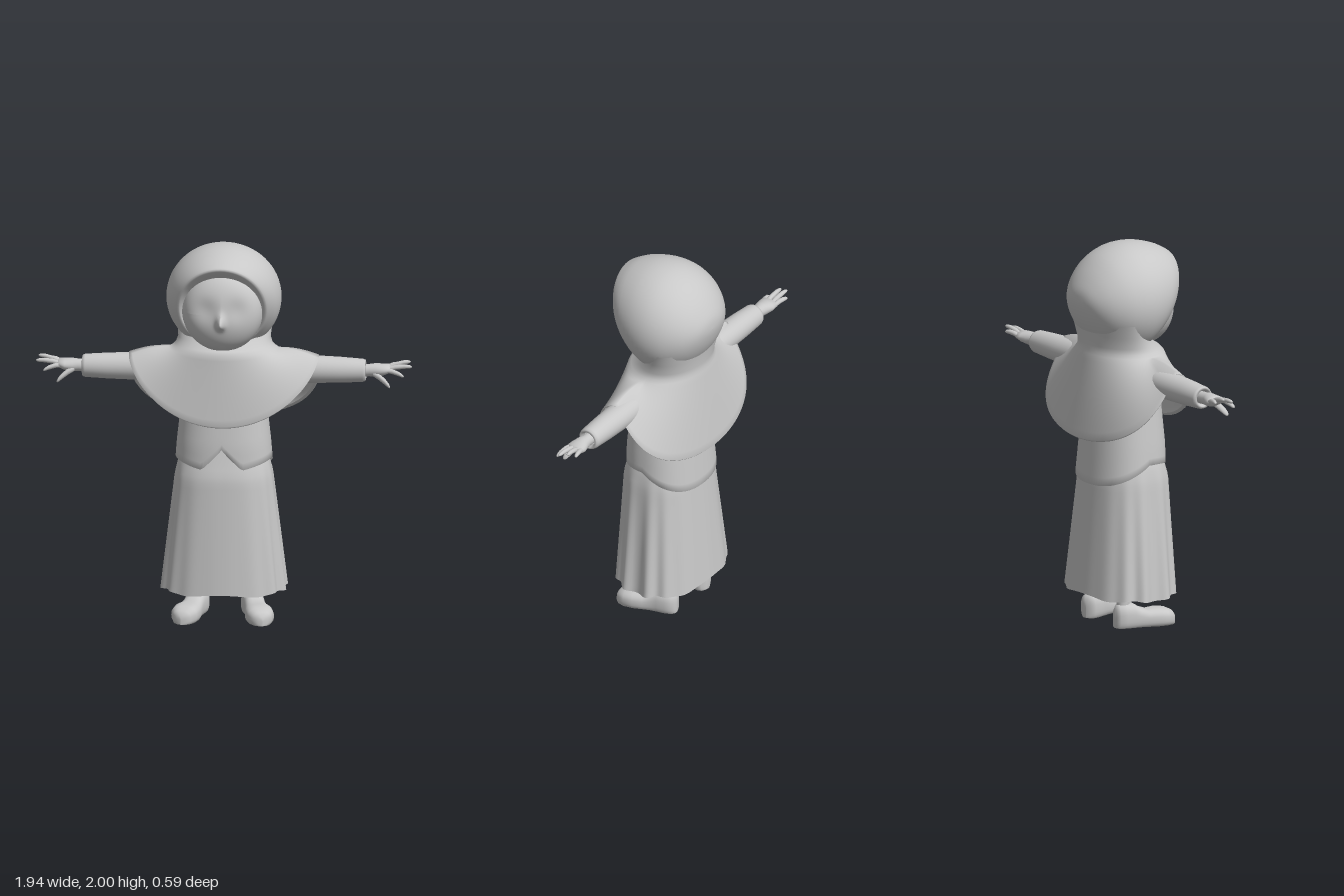
import * as THREE from 'three';

const clay = new THREE.MeshStandardMaterial({ color: 0xc8c8c8, side: THREE.DoubleSide });
clay.name = 'light grey';

const TAU = Math.PI * 2;
const lerp = THREE.MathUtils.lerp;
const spow = (v, e) => Math.sign(v) * Math.abs(v) ** e;

// Skin a list of closed loops, each an array of [x, y, z]
function loft(name, rows) {
  const n = rows[0].length, index = [];
  for (let r = 0; r < rows.length - 1; r++) {
    for (let i = 0; i < n; i++) {
      const a = r * n + i, b = r * n + (i + 1) % n;
      index.push(a, a + n, b, b, a + n, b + n);
    }
  }
  const g = new THREE.BufferGeometry();
  g.setAttribute('position', new THREE.Float32BufferAttribute(rows.flat(2), 3));
  g.setIndex(index);
  g.computeVertexNormals();
  const mesh = new THREE.Mesh(g, clay);
  mesh.name = name;
  return mesh;
}

const loop = (n, f) => Array.from({ length: n }, (_, i) => f(i / n * TAU));

// Horizontal section: half width, front z, back z; angle 0 faces front
function section(a, rx, zf, zb, e = 1) {
  const zc = (zf + zb) / 2;
  return [rx * spow(Math.sin(a), e), zc + (zf - zb) / 2 * spow(Math.cos(a), e)];
}

// Interpolate a small table whose first column is the position
function sample(table, t) {
  let i = 0;
  while (i < table.length - 2 && (table[i + 1][0] - t) * (table[1][0] - table[0][0]) < 0) i++;
  const k = (t - table[i][0]) / (table[i + 1][0] - table[i][0]);
  return table[i].map((v, j) => lerp(v, table[i + 1][j], k));
}

// Rounded limb along x from [x, y, z, ry, rz] stations
const limb = (name, pts, n = 16) => loft(name, pts.map(([x, y, z, ry, rz = ry]) =>
  loop(n, a => [x, y + ry * Math.cos(a), z + rz * Math.sin(a)])));

// Head covering: loops from the folded inner rim to the back of the head
function makeHood() {
  // z centre, forward tilt, half width, top y, bottom y
  const keys = [
    [0.08, 0.09, 0.185, 1.86, 1.50], [0.125, 0.10, 0.205, 1.895, 1.48],
    [0.15, 0.10, 0.225, 1.922, 1.46], [0.125, 0.10, 0.252, 1.942, 1.45],
    [0.08, 0.085, 0.278, 1.972, 1.43], [0.01, 0.05, 0.295, 1.998, 1.42],
    [-0.07, 0.02, 0.292, 1.993, 1.43], [-0.15, 0, 0.264, 1.95, 1.46],
    [-0.22, 0, 0.208, 1.885, 1.53], [-0.265, 0, 0.14, 1.82, 1.61],
    [-0.287, 0, 0.07, 1.77, 1.68], [-0.292, 0, 0, 1.72, 1.72]];
  const curves = [0, 1, 2, 3, 4].map(c => new THREE.SplineCurve(
    keys.map((k, i) => new THREE.Vector2(i, k[c]))));
  const rows = [];
  for (let s = 0; s <= 33; s++) {
    const [zc, tilt, rx, yt, yb] = curves.map(c => c.getPoint(s / 33).y);
    rows.push(loop(64, a => [rx * Math.sin(a),
      (yt + yb) / 2 + (yt - yb) / 2 * Math.cos(a), zc + tilt * Math.cos(a)]));
  }
  return loft('hood', rows);
}

// Draped cape: neck rings, then a sweep to the scooped hem
function makeCape() {
  const N = 96;
  const rows = [[1.62, 0.262, 0.03, -0.25], [1.55, 0.245, 0.06, -0.238], [1.49, 0.238, 0.11, -0.23],
    [1.46, 0.25, 0.155, -0.23]].map(([y, rx, zf, zb]) => loop(N, a => {
    const [x, z] = section(a, rx, zf, zb);
    return [x, y, z];
  }));
  const hem = (a, inset = 0) => {
    const c = Math.cos(a), k = Math.abs(c), f = c > 0;
    return [(0.49 - inset) * Math.sin(a),
      f ? 1.405 - 0.335 * k ** 1.3 : 1.405 - 0.4 * k ** 0.6,
      f ? -0.03 + (0.23 - inset) * k ** 0.7 : -0.03 - (0.265 - inset) * k ** 0.65];
  };
  for (let s = 0; s <= 12; s++) {
    const t = s / 12;
    rows.push(loop(N, a => {
      const [x, z] = section(a, 0.268, 0.17, -0.235), h = hem(a);
      const lift = 0.012 * Math.sin(Math.PI * t);
      return [lerp(x, h[0], t), lerp(1.442, h[1], t) + lift, lerp(z, h[2], t)];
    }));
  }
  // Turned-in edge
  rows.push(loop(N, a => { const h = hem(a, 0.008); return [h[0], h[1] - 0.008, h[2]]; }));
  rows.push(loop(N, a => { const h = hem(a, 0.02); return [h[0], h[1] + 0.005, h[2]]; }));
  return loft('cape', rows);
}

// Face: flattened ball with shallow eye hollows and a pointed nose
function makeFace() {
  const g = new THREE.SphereGeometry(1, 64, 64).rotateX(Math.PI / 2);
  const p = g.attributes.position;
  for (let i = 0; i < p.count; i++) {
    const x = p.getX(i) * 0.212, y = 1.672 + p.getY(i) * 0.222;
    let z = 0.04 + 0.2 * spow(p.getZ(i), 0.62);
    if (p.getZ(i) > 0) {
      z -= 0.014 * Math.exp(-(((Math.abs(x) - 0.08) / 0.06) ** 2) - ((y - 1.7) / 0.06) ** 2);
      const dy = y - 1.63;
      z += 0.055 * Math.exp(-((x / 0.02) ** 2) - (dy / (dy > 0 ? 0.04 : 0.025)) ** 2);
    }
    p.setXYZ(i, x, y, z);
  }
  g.computeVertexNormals();
  const mesh = new THREE.Mesh(g, clay);
  mesh.name = 'face';
  return mesh;
}

// Jacket with a notched front and a longer back
function makeJacket() {
  const table = [[1.42, 0.2, 0.13, -0.17], [1.15, 0.22, 0.155, -0.195],
    [0.95, 0.242, 0.172, -0.215], [0.75, 0.258, 0.172, -0.232]];
  const hemY = a => {
    const x = 0.25 * Math.abs(Math.sin(a)), c = Math.cos(a);
    if (c < 0) return 0.865 - 0.115 * Math.abs(c) ** 0.8;
    return x < 0.09 ? 0.94 - 0.11 * (x / 0.09) ** 0.8 : lerp(0.83, 0.865, (x - 0.09) / 0.16);
  };
  const rows = [];
  for (let s = 0; s <= 16; s++) {
    rows.push(loop(96, a => {
      const y = lerp(1.42, hemY(a), s / 16);
      const [, rx, zf, zb] = sample(table, y);
      const [x, z] = section(a, rx, zf, zb, 0.85);
      return [x, y, z];
    }));
  }
  rows.push(rows[16].map(([x, y, z]) => [x * 0.93, y + 0.005, z * 0.93]));
  return loft('jacket', rows);
}

// Long skirt with folds deepening down the sides
function makeSkirt() {
  const table = [[0.96, 0.19, 0.135, -0.16], [0.86, 0.232, 0.16, -0.19],
    [0.78, 0.252, 0.182, -0.212], [0.16, 0.318, 0.203, -0.264]];
  const rows = [];
  for (let s = 0; s <= 24; s++) {
    const y0 = lerp(0.96, 0.165, s / 24), t = Math.max(0, (0.84 - y0) / 0.68);
    const [, rx, zf, zb] = sample(table, y0);
    rows.push(loop(160, a => {
      const [x, z] = section(a, rx, zf, zb, 0.8);
      const side = Math.sin(a) ** 2;
      const fold = Math.cos(14 * a) * t ** 0.7 * (0.005 + 0.04 * side ** 2);
      return [x * (1 + fold), y0 + 0.006 * (s / 24) * Math.cos(6 * a), z * (1 + fold)];
    }));
  }
  return loft('skirt', rows);
}

// Sleeve, wrist, palm, four fingers and thumb on the +x side
function makeArm() {
  const arm = new THREE.Group();
  arm.name = 'arm';
  arm.add(limb('sleeve', [[0.15, 1.33, -0.03, 0.08], [0.48, 1.327, -0.03, 0.071],
    [0.6, 1.326, -0.03, 0.067], [0.715, 1.325, -0.03, 0.06], [0.729, 1.325, -0.03, 0.055],
    [0.732, 1.325, -0.03, 0.044], [0.71, 1.325, -0.03, 0.036]], 32));
  arm.add(limb('hand', [[0.7, 1.325, -0.03, 0.032], [0.75, 1.327, -0.03, 0.032],
    [0.78, 1.328, -0.03, 0.035, 0.04], [0.82, 1.33, -0.033, 0.03, 0.05],
    [0.85, 1.335, -0.035, 0.022, 0.05], [0.868, 1.335, -0.035, 0, 0]], 24));
  const digit = (name, from, to, r) => {
    const stations = [[0, 0.9], [0.35, 1], [0.7, 0.92], [0.9, 0.7], [0.97, 0.4], [1, 0]];
    arm.add(limb(name, stations.map(([t, k]) => [
      ...from.map((v, i) => lerp(v, to[i], t) + (i === 1 ? 0.008 * Math.sin(Math.PI * t) : 0)), r * k]), 12));
  };
  [[-0.07, 0.925, 1.345, -0.092], [-0.05, 0.96, 1.365, -0.066],
    [-0.022, 0.97, 1.35, -0.02], [0, 0.93, 1.308, 0.022]].forEach(([z, ...tip]) =>
    digit('finger', [0.835, 1.333, z], tip, 0.013));
  digit('thumb', [0.77, 1.315, -0.01], [0.86, 1.252, 0.03], 0.018);
  return arm;
}

// Leg and rounded shoe, toe turned outward
function makeLeg() {
  const leg = new THREE.Group();
  leg.name = 'leg';
  const shin = new THREE.Mesh(new THREE.CylinderGeometry(0.045, 0.033, 0.6, 24), clay);
  shin.name = 'shin';
  shin.position.set(0.133, 0.39, -0.11);
  leg.add(shin);
  // z, half width, height
  const keys = [[-0.165, 0, 0.06], [-0.162, 0.03, 0.1], [-0.145, 0.05, 0.122], [-0.11, 0.058, 0.126],
    [-0.065, 0.056, 0.122], [-0.03, 0.056, 0.1], [0.01, 0.063, 0.087], [0.06, 0.073, 0.092],
    [0.11, 0.07, 0.086], [0.145, 0.05, 0.07], [0.16, 0.025, 0.05], [0.164, 0, 0.03]];
  const shoe = loft('shoe', keys.map(([z, w, h]) => loop(32, a => [
    w * spow(Math.sin(a), 0.75),
    Math.max(0, h * 0.42 + h * 0.58 * spow(Math.cos(a), 0.8)), z])));
  shoe.position.x = 0.168;
  shoe.rotation.y = 0.27;
  leg.add(shoe);
  return leg;
}

export function createModel() {
  const model = new THREE.Group();
  model.name = 'figure';
  model.add(makeHood(), makeCape(), makeFace(), makeJacket(), makeSkirt());
  for (const side of [1, -1]) {
    for (const part of [makeArm(), makeLeg()]) {
      part.name = (side > 0 ? 'left ' : 'right ') + part.name;
      part.scale.x = side;
      model.add(part);
    }
  }
  return model;
}
